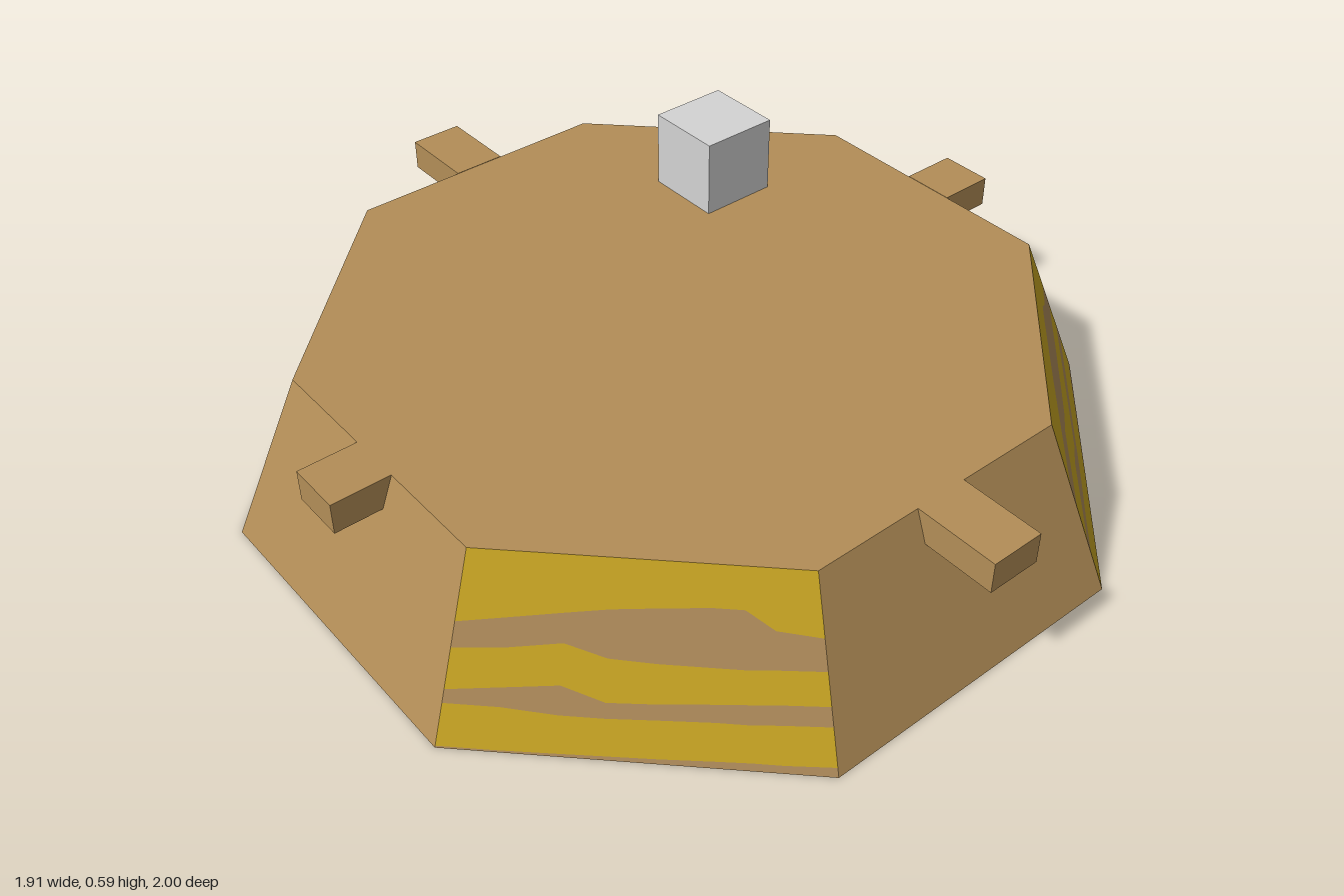
import * as THREE from 'three';

const HEIGHT = 0.4;

function material(name, color) {
  const m = new THREE.MeshStandardMaterial({ color });
  m.name = name;
  return m;
}

// Octagon with alternating long and short sides, counter-clockwise seen from the front side
function octagon(reach, half, y) {
  return [[half, reach], [reach, half], [reach, -half], [half, -reach],
    [-half, -reach], [-reach, -half], [-reach, half], [-half, reach]]
    .map(([x, z]) => new THREE.Vector3(x, y, z));
}

function trianglesToMesh(points, mat, name) {
  const geo = new THREE.BufferGeometry().setFromPoints(points);
  geo.computeVertexNormals();
  const mesh = new THREE.Mesh(geo, mat);
  mesh.name = name;
  return mesh;
}

const quad = (a, b, c, d) => [a, b, c, a, c, d];

// Wavy boundaries between the colour bands of a patterned side, bottom to top
const ACROSS = [0, 0.15, 0.3, 0.42, 0.55, 0.7, 0.79, 0.87, 1];
const BOUNDARIES = [
  [0, 0, 0, 0, 0, 0, 0, 0, 0],
  [0.01, 0.01, 0.015, 0.02, 0.025, 0.035, 0.04, 0.04, 0.05],
  [0.23, 0.23, 0.21, 0.21, 0.22, 0.23, 0.23, 0.24, 0.25],
  [0.30, 0.33, 0.36, 0.29, 0.30, 0.32, 0.33, 0.34, 0.35],
  [0.51, 0.53, 0.57, 0.51, 0.50, 0.50, 0.50, 0.51, 0.52],
  [0.64, 0.68, 0.72, 0.75, 0.77, 0.79, 0.79, 0.70, 0.68],
  [1, 1, 1, 1, 1, 1, 1, 1, 1],
];

export function createModel() {
  const tan = material('tan', 0xb38e57);
  const yellow = material('yellow', 0xc4a222);
  const stripe = material('stripeBrown', 0xaa8858);
  const grey = material('lightGrey', 0xd4d4d4);

  const model = new THREE.Group();
  model.name = 'octagonalPlatform';

  const low = octagon(0.955, 0.395, 0);
  const high = octagon(0.8, 0.33, HEIGHT);

  // Deck and underside
  const deck = [], base = [];
  for (let i = 1; i < 7; i++) {
    deck.push(high[0], high[i], high[i + 1]);
    base.push(low[0], low[i + 1], low[i]);
  }
  model.add(trianglesToMesh(deck, tan, 'deck'), trianglesToMesh(base, tan, 'underside'));

  // Sloping sides: corner sides are striped, straight sides plain
  for (let i = 0; i < 8; i++) {
    const j = (i + 1) % 8;
    if (i % 2) {
      model.add(trianglesToMesh(quad(low[i], low[j], high[j], high[i]), tan, 'plainSide'));
      continue;
    }
    const at = (u, v) => low[i].clone().lerp(low[j], u)
      .lerp(high[i].clone().lerp(high[j], u), v);
    const bands = [[], []];
    for (let b = 0; b < 6; b++) {
      for (let k = 0; k < ACROSS.length - 1; k++) {
        const [u0, u1] = [ACROSS[k], ACROSS[k + 1]];
        const [lo, hi] = [BOUNDARIES[b], BOUNDARIES[b + 1]];
        bands[b % 2].push(...quad(at(u0, lo[k]), at(u1, lo[k + 1]), at(u1, hi[k + 1]), at(u0, hi[k])));
      }
    }
    const side = new THREE.Group();
    side.name = 'stripedSide';
    side.add(trianglesToMesh(bands[0], stripe, 'stripes'), trianglesToMesh(bands[1], yellow, 'yellowBands'));
    model.add(side);
  }

  // Tabs projecting from the four straight sides at deck level
  for (let i = 0; i < 4; i++) {
    const end = i % 2 ? 0.94 : 1;
    const length = end - 0.8;
    const tab = new THREE.Mesh(new THREE.BoxGeometry(0.13, 0.075, length), tan);
    tab.position.set(0, HEIGHT - 0.0365, 0.8 + length / 2);
    const arm = new THREE.Group();
    arm.name = 'edgeTab';
    arm.rotation.y = i * Math.PI / 2;
    arm.add(tab);
    model.add(arm);
  }

  // Small block standing on the deck
  const block = new THREE.Mesh(new THREE.BoxGeometry(0.193, 0.19, 0.193), grey);
  block.name = 'deckBlock';
  block.position.set(0.398, HEIGHT + 0.095, -0.353);
  model.add(block);

  return model;
}
